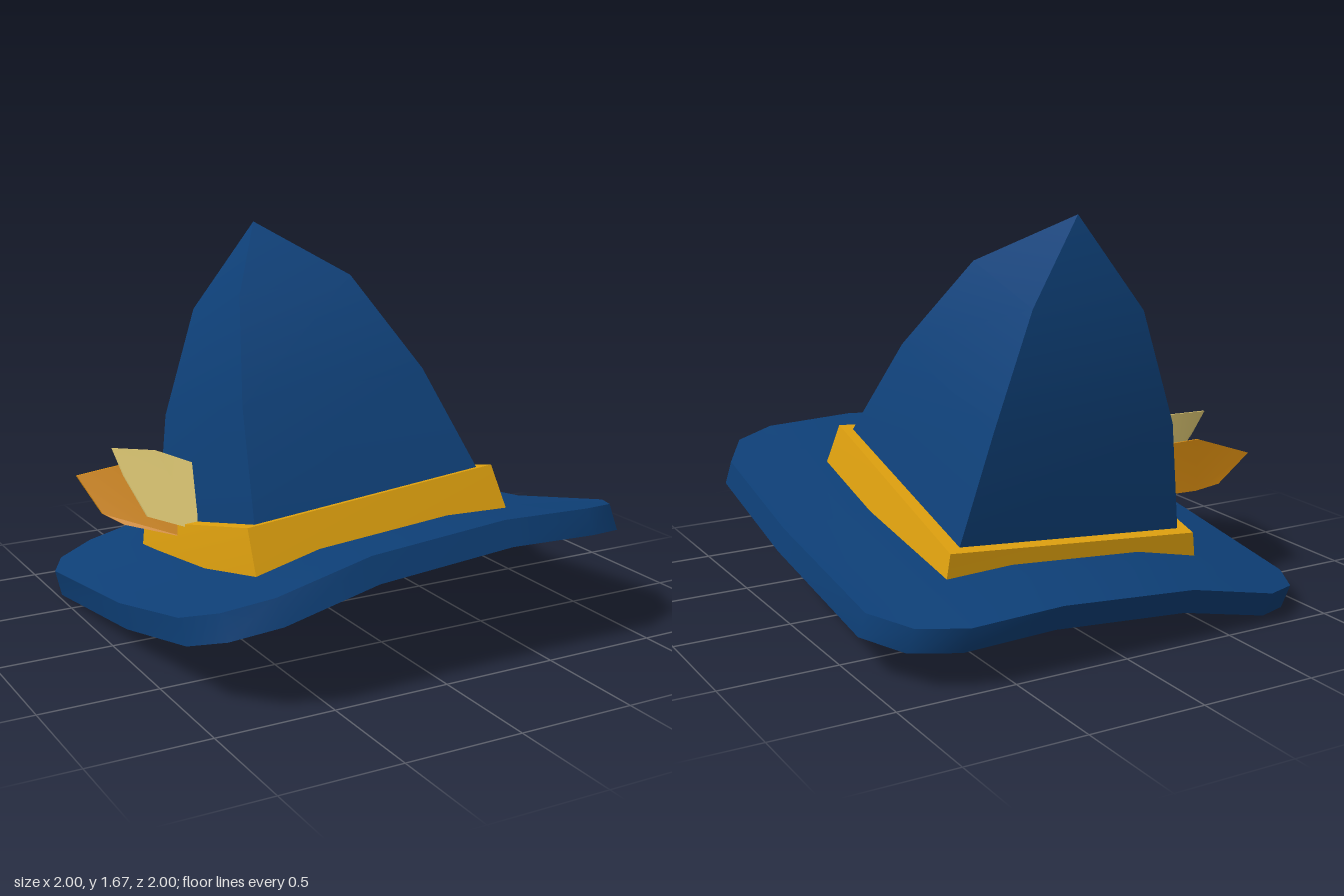
import * as THREE from 'three';
import { toCreasedNormals } from 'three/addons/utils/BufferGeometryUtils.js';

const paint = (name, color) => {
  const m = new THREE.MeshStandardMaterial({ color });
  m.name = name;
  return m;
};

// Collects polygons (counterclockwise from outside) and skips empty triangles
function geometryFrom(polygons, crease) {
  const pos = [];
  for (const p of polygons) {
    for (let i = 1; i < p.length - 1; i++) {
      const [a, b, c] = [p[0], p[i], p[i + 1]].map(v => new THREE.Vector3(...v));
      const area = b.clone().sub(a).cross(c.clone().sub(a)).length();
      if (area > 1e-6) for (const v of [a, b, c]) pos.push(v.x, v.y, v.z);
    }
  }
  const g = new THREE.BufferGeometry();
  g.setAttribute('position', new THREE.Float32BufferAttribute(pos, 3));
  g.computeVertexNormals();
  return toCreasedNormals(g, crease);
}

// Wall between two rings, lower ring first
const wall = (lo, hi) => lo.map((p, i) => {
  const k = (i + 1) % lo.length;
  return [p, lo[k], hi[k], hi[i]];
});

// Closed stack of rings, bottom to top
function stack(rings, crease) {
  const faces = [[...rings[0]].reverse(), rings[rings.length - 1]];
  for (let i = 0; i < rings.length - 1; i++) faces.push(...wall(rings[i], rings[i + 1]));
  return geometryFrom(faces, crease);
}

// Warped brim: height is the sum of a curve across and a curve from front to back
function brimGeometry() {
  // x, front z, back z, rise across
  const columns = [
    [-0.99, 0.71, -0.69, 0], [-0.9, 0.885, -0.865, 0.02], [-0.72, 0.985, -0.965, 0.057],
    [-0.31, 0.975, -0.975, 0.15], [0.3, 0.97, -0.98, 0.198], [0.7, 0.97, -0.98, 0.185],
    [0.88, 0.895, -0.88, 0.175], [0.99, 0.71, -0.69, 0.172],
  ];
  const slope = [[-0.98, -0.03], [-0.84, -0.018], [-0.69, 0.002], [0.1, 0.11], [0.71, 0.252], [0.985, 0.315]];
  const along = z => {
    let i = 0;
    while (i < slope.length - 2 && z > slope[i + 1][0]) i++;
    const [[z0, y0], [z1, y1]] = [slope[i], slope[i + 1]];
    return y0 + (y1 - y0) * (z - z0) / (z1 - z0);
  };
  const sheet = (dx, dy, dz) => columns.map(([x, front, back, rise]) =>
    [front, 0.71, 0.1, -0.69, back].map(z => [x + dx, Math.max(0, rise + along(z)) + dy, z + dz]));
  const low = sheet(0.008, 0, 0.015), top = sheet(-0.008, 0.105, -0.02);
  const last = columns.length - 1;
  const outline = s => [
    ...s.map(c => c[0]), ...s[last].slice(2, 3), ...s.map(c => c[4]).reverse(), s[0][2],
  ];
  const faces = wall(outline(low), outline(top));
  for (let i = 0; i < last; i++) {
    for (let j = 0; j < 4; j++) {
      const quad = s => [s[i][j], s[i + 1][j], s[i + 1][j + 1], s[i][j + 1]];
      faces.push(quad(top), quad(low).reverse());
    }
  }
  return geometryFrom(faces, 0.6);
}

// Thin plate from an outline listed counterclockwise as seen from the front
function featherGeometry(points) {
  const back = points.map(([x, y, z]) => [x - 0.003, y, z - 0.008]);
  return stack([back, points], 0.3);
}

export function createModel() {
  const hat = new THREE.Group();
  hat.name = 'pointedHat';
  const blue = paint('navy felt', 0x0e4078);
  const gold = paint('gold band', 0xe2a30f);
  const straw = paint('straw feather', 0xe4cd76);
  const amber = paint('amber feather', 0xd0860f);
  const add = (name, geometry, material) => {
    const mesh = new THREE.Mesh(geometry, material);
    mesh.name = name;
    hat.add(mesh);
  };

  add('brim', brimGeometry(), blue);

  // Crown: rings run front left, front right, back right, back left, up to the bent tip
  const tip = [-0.13, 1.67, -0.405];
  add('crown', stack([
    [[-0.557, 0.575, 0.445], [0.505, 0.67, 0.435], [0.512, 0.4, -0.568], [-0.552, 0.3, -0.56]],
    [[-0.5, 1.01, 0.23], [0.36, 1.08, 0.22], [0.37, 0.87, -0.6], [-0.49, 0.8, -0.59]],
    [[-0.37, 1.41, -0.055], [0.16, 1.46, -0.055], [0.17, 1.33, -0.555], [-0.36, 1.28, -0.55]],
    [tip, tip, tip, tip],
  ], 0.55), blue);

  // Band: tilted square collar, its lower edge sunk into the brim
  add('band', stack([
    [[-0.61, 0.36, 0.582], [0.595, 0.455, 0.565], [0.595, 0.26, -0.61], [-0.615, 0.16, -0.605]],
    [[-0.61, 0.59, 0.49], [0.55, 0.69, 0.475], [0.57, 0.41, -0.61], [-0.6, 0.31, -0.605]],
  ], 0.3), gold);

  // Two feathers tucked into the band
  add('frontFeather', featherGeometry([
    [-0.55, 0.4, -0.11], [-0.55, 0.69, -0.17], [-0.68, 0.74, -0.25],
    [-0.85, 0.755, -0.32], [-0.82, 0.64, -0.27], [-0.75, 0.47, -0.19],
  ]), straw);
  add('backFeather', featherGeometry([
    [-0.57, 0.35, -0.18], [-0.57, 0.6, -0.24], [-0.76, 0.655, -0.4],
    [-0.945, 0.597, -0.515], [-0.87, 0.44, -0.41], [-0.8, 0.4, -0.34],
  ]), amber);

  return hat;
}
